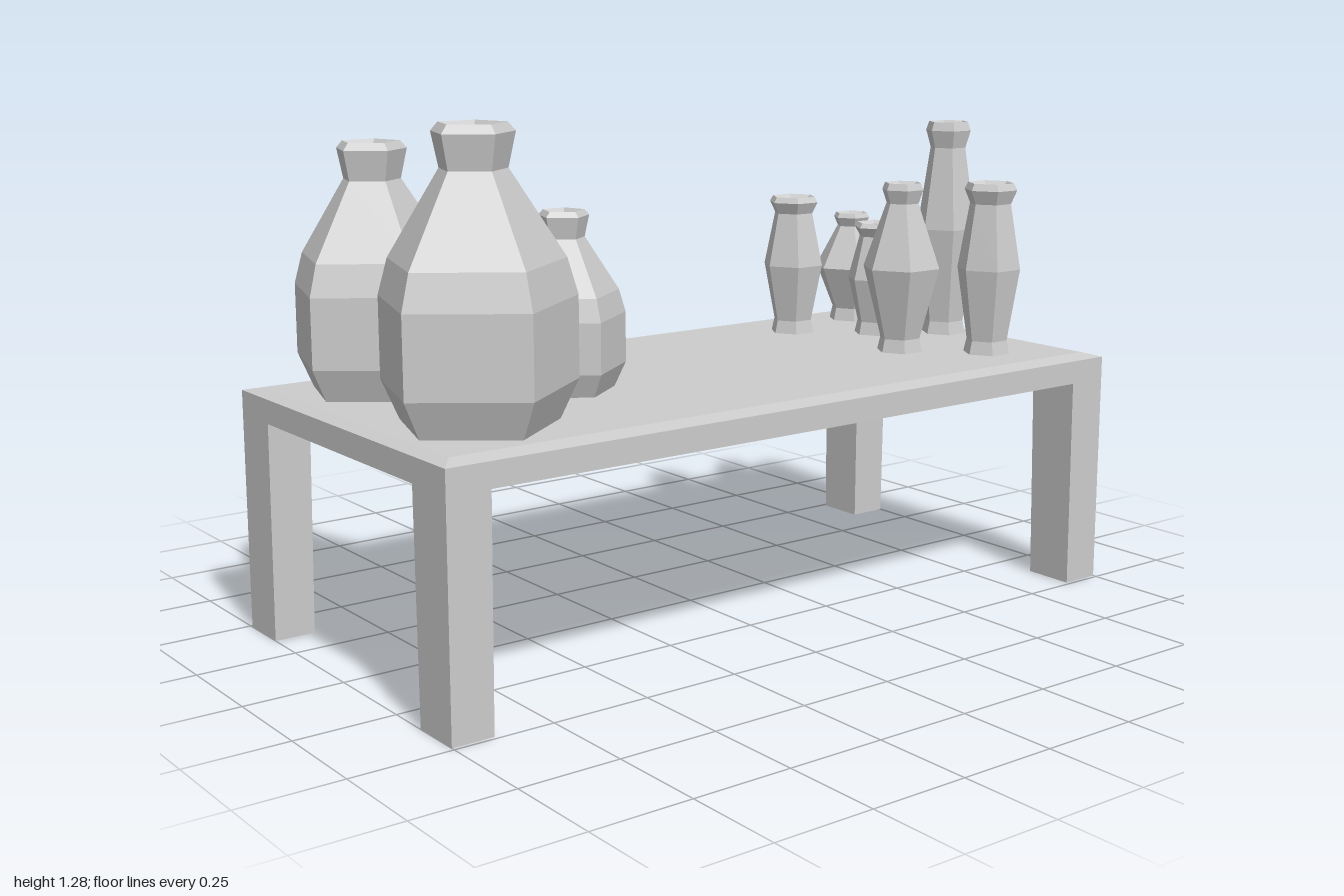
import * as THREE from 'three';

const material = new THREE.MeshStandardMaterial({ color: 0xcccccc, flatShading: true });

function addMesh(parent, geometry, name) {
  geometry.computeVertexNormals();
  const mesh = new THREE.Mesh(geometry, material);
  mesh.name = name;
  parent.add(mesh);
  return mesh;
}

// Applies a rule to every vertex of a geometry
function reshape(geometry, rule) {
  const p = geometry.attributes.position;
  const v = new THREE.Vector3();
  for (let i = 0; i < p.count; i++) {
    rule(v.fromBufferAttribute(p, i));
    p.setXYZ(i, v.x, v.y, v.z);
  }
  return geometry;
}

// Faceted hollow vessel; profile entries are [radius, height]
function vessel(profile, sides, phiStart) {
  const points = profile.map(([r, y]) => new THREE.Vector2(r, y));
  return new THREE.LatheGeometry(points, sides, phiStart);
}

export function createModel() {
  const model = new THREE.Group();
  const STAND = 0.618;

  // Table
  const table = new THREE.Group();
  table.name = 'table';
  model.add(table);

  // Slab with a shallow bevel around its upper face
  const slab = reshape(new THREE.BoxGeometry(0.98, 0.07, 2, 1, 2, 1), (v) => {
    if (v.y > 0.03) {
      v.x -= Math.sign(v.x) * 0.045;
      v.z -= Math.sign(v.z) * 0.035;
    } else if (v.y > -0.03) {
      v.y = 0.025;
    }
    v.y += 0.58;
  });
  addMesh(table, slab, 'tableTop');

  // Legs, narrowing slightly on their inner faces
  for (const sx of [-1, 1]) {
    for (const sz of [-1, 1]) {
      const leg = reshape(new THREE.BoxGeometry(0.14, 0.55, 0.11), (v) => {
        const low = v.y < 0;
        if (v.x * sx < 0 && low) v.x += sx * 0.008;
        if (v.z * sz < 0 && low) v.z += sz * 0.005;
        v.x += sx * 0.42;
        v.z += sz * 0.945;
        v.y += 0.275;
      });
      addMesh(table, leg, 'leg');
    }
  }

  // Three five-sided jars of one shape in different sizes
  const jarProfile = [
    [0, 0], [0.19, 0], [0.235, 0.09], [0.235, 0.28], [0.21, 0.365], [0.08, 0.567],
    [0.098, 0.647], [0.08, 0.667], [0.064, 0.645], [0.05, 0.57], [0, 0.57],
  ];
  for (const [name, x, z, s] of [
    ['largeJar', 0.23, 0.765, 1],
    ['mediumJar', -0.237, 0.765, 0.895],
    ['smallJar', 0.03, 0.4, 0.65],
  ]) {
    const jar = addMesh(model, vessel(jarProfile, 5, Math.PI / 2), name);
    jar.position.set(x, STAND, z);
    jar.scale.setScalar(s);
  }

  // Six-sided vases: body and lip radius vary, height is stretched
  const vases = [
    // x, z, height, body, lip
    [-0.31, -0.82, 0.31, 0.105, 0.053],
    [0.015, -0.88, 0.587, 0.082, 0.063],
    [-0.09, -0.72, 0.31, 0.083, 0.066],
    [0.305, -0.753, 0.45, 0.084, 0.07],
    [-0.25, -0.55, 0.38, 0.085, 0.07],
    [0.145, -0.59, 0.447, 0.104, 0.056],
  ];
  for (const [x, z, h, body, lip] of vases) {
    const profile = [
      [0, 0], [0.062, 0], [0.054, 0.035], [body, 0.5 * h], [lip * 0.78, 0.88 * h],
      [lip, 0.96 * h], [lip * 0.87, h], [lip * 0.64, 0.97 * h], [lip * 0.52, 0.84 * h], [0, 0.84 * h],
    ];
    const vase = addMesh(model, vessel(profile, 6, 0), 'vase');
    vase.position.set(x, STAND, z);
  }

  return model;
}
